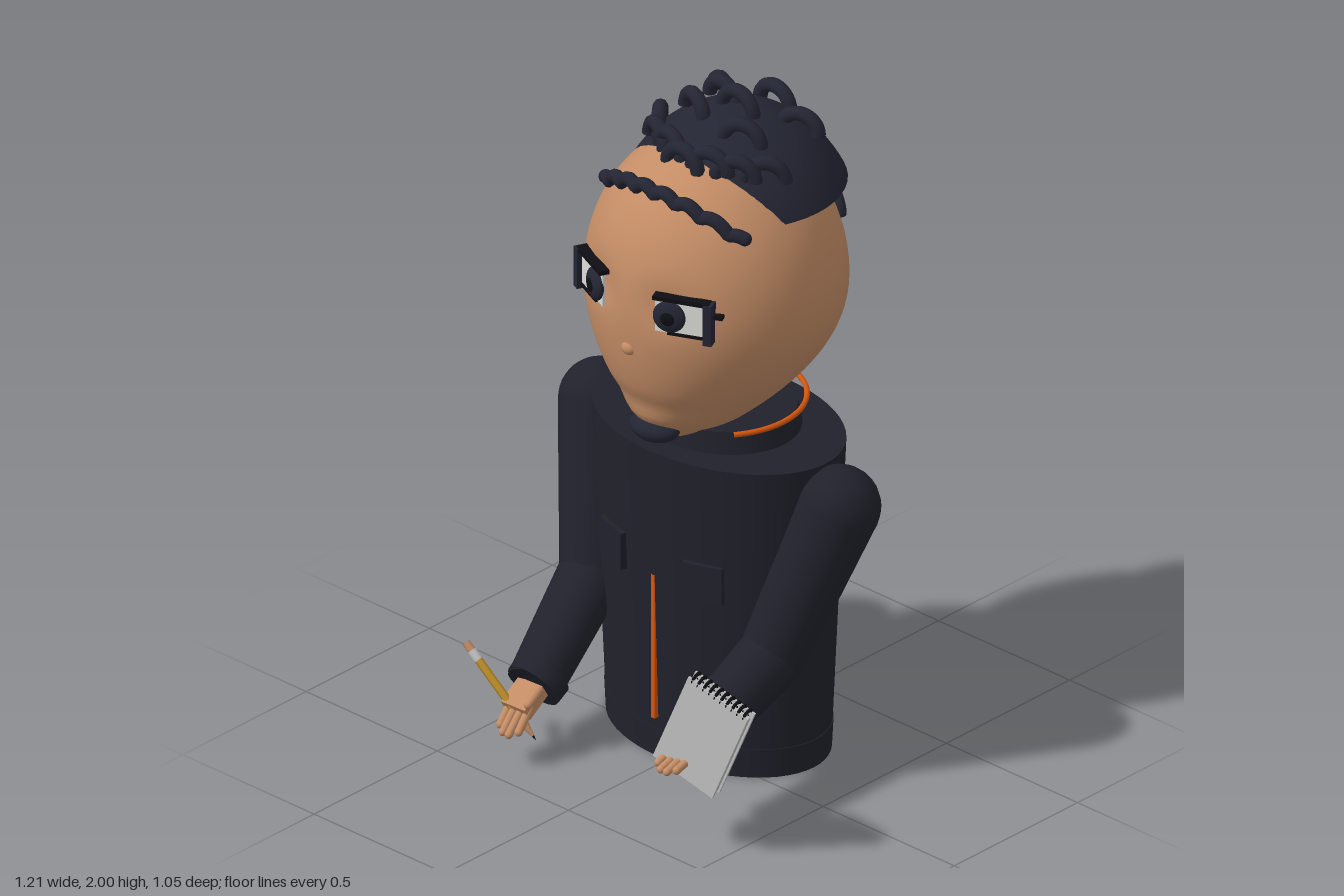
import * as THREE from 'three';

const V = (x, y, z) => new THREE.Vector3(x, y, z);
const CX = -0.035, CZ = -0.142; // body axis

export function createModel() {
  const model = new THREE.Group();
  const mat = (name, color, side = THREE.FrontSide) =>
    Object.assign(new THREE.MeshStandardMaterial({ color, side }), { name });
  const cloth = mat('cloth', 0x21212c);
  const hair = mat('hair', 0x232533, THREE.DoubleSide);
  const skin = mat('skin', 0xc38c65);
  const orange = mat('orange trim', 0xd4560f);
  const paper = mat('notebook grey', 0xc2c2c2);
  const white = mat('eye white', 0xdcdcd8);
  const black = mat('black', 0x0e0e13);
  const yellow = mat('pencil yellow', 0xc4922a);

  const add = (name, geo, m, p = V(0, 0, 0), parent = model) => {
    const mesh = new THREE.Mesh(geo, m);
    mesh.name = name;
    mesh.position.copy(p);
    parent.add(mesh);
    return mesh;
  };
  const ball = (name, r, m, p, s = [1, 1, 1], parent = model) => {
    const b = add(name, new THREE.SphereGeometry(r, 24, 16), m, p, parent);
    b.scale.set(...s);
    return b;
  };
  // tapered rod from a to b
  const rod = (name, a, b, ra, rb, m, parent = model, sides = 24) => {
    const d = b.clone().sub(a);
    const mesh = add(name, new THREE.CylinderGeometry(rb, ra, d.length(), sides), m, a.clone().add(b).multiplyScalar(0.5), parent);
    mesh.quaternion.setFromUnitVectors(V(0, 1, 0), d.normalize());
    return mesh;
  };

  // torso, hem and collar
  const oval = (name, rt, rb, y0, y1, depth) => {
    const geo = new THREE.CylinderGeometry(rt, rb, y1 - y0, 56);
    geo.scale(1, 1, depth);
    add(name, geo, cloth, V(CX, (y0 + y1) / 2, -0.147));
  };
  oval('torso', 0.408, 0.36, 0, 0.98, 0.69);
  oval('hem', 0.367, 0.362, 0, 0.09, 0.69);
  oval('collar', 0.235, 0.25, 0.97, 1.045, 0.86);
  const trim = new THREE.TorusGeometry(0.245, 0.008, 8, 56, Math.PI + 1.3);
  trim.rotateZ(Math.PI - 0.65).rotateX(Math.PI / 2);
  add('collarTrim', trim, orange, V(CX, 1.05, -0.147));
  add('zipper', new THREE.BoxGeometry(0.013, 0.455, 0.04), orange, V(CX, 0.355, 0.101));
  for (const s of [-1, 1]) {
    const pocket = add('chestPocket', new THREE.BoxGeometry(0.122, 0.115, 0.025), cloth, V(CX + s * 0.17, 0.612, 0.097));
    pocket.rotation.y = s * 0.32;
  }

  // head: egg with narrow jaw pushed forward and shallow eye sockets
  const headGeo = new THREE.SphereGeometry(1, 72, 56);
  const pos = headGeo.attributes.position;
  for (let i = 0; i < pos.count; i++) {
    let x = pos.getX(i) * 0.372, z = pos.getZ(i) * 0.367;
    const t = pos.getY(i), y = 1.44 + t * (t > 0 ? 0.44 : 0.47);
    if (t < 0) { x *= 1 - 0.5 * t * t; z += 0.075 * t * t; }
    if (z > 0) {
      const g = (u, w) => Math.exp(-u * u / (w * w));
      z -= 0.018 * g(Math.abs(x) - 0.13, 0.08) * g(y - 1.5, 0.06);
      z += 0.01 * g(y - 1.09, 0.03) * g(x, 0.16) - 0.008 * g(y - 1.15, 0.03) * g(x, 0.2);
    }
    pos.setXYZ(i, x, y, z);
  }
  headGeo.computeVertexNormals();
  add('head', headGeo, skin, V(CX, 0, -0.137));
  ball('nose', 0.026, skin, V(CX, 1.34, 0.215), [1, 0.85, 0.8]);
  ball('goatee', 0.08, hair, V(CX, 1.05, 0.112), [1, 0.5, 0.75]);

  // eyes
  for (const s of [-1, 1]) {
    const eye = new THREE.Group();
    eye.name = s > 0 ? 'leftEye' : 'rightEye';
    eye.position.set(CX + s * 0.165, 1.485, 0.185);
    eye.rotation.y = s * 0.42;
    model.add(eye);
    const bar = (name, w, h, d, x, y, m, z = 0) => add(name, new THREE.BoxGeometry(w, h, d), m, V(s * x, y, z), eye);
    bar('eyeWhite', 0.145, 0.105, 0.009, 0, 0, white);
    bar('upperLash', 0.165, 0.013, 0.03, 0.005, 0.055, black);
    bar('lowerLash', 0.12, 0.008, 0.02, 0.025, -0.053, black);
    bar('outerLash', 0.025, 0.125, 0.04, 0.085, -0.005, hair);
    bar('lashTip', 0.045, 0.012, 0.02, 0.1, 0.015, black, -0.01);
    ball('iris', 0.048, hair, V(s * -0.03, 0, 0.008), [1, 1, 0.4], eye);
    ball('pupil', 0.022, black, V(s * -0.03, 0, 0.023), [1, 1, 0.3], eye);
  }

  // hair cap: flattened piece of a sphere
  const th = Math.PI / 3, R = 0.312 / Math.sin(th), capK = 0.22 / (R * (1 - Math.cos(th)));
  const capGeo = new THREE.SphereGeometry(R, 48, 16, 0, Math.PI * 2, 0, th);
  capGeo.translate(0, -R * Math.cos(th), 0).scale(1, capK, 1);
  add('hairCap', capGeo, hair, V(CX, 1.71, -0.215));
  const capY = (x, z) => 1.71 + capK * (Math.sqrt(Math.max(0, R * R - (x - CX) ** 2 - (z + 0.215) ** 2)) - R * Math.cos(th));

  // arched curls on top: x, z, turn
  const arch = (r, tube) => new THREE.TorusGeometry(r, tube, 10, 18, Math.PI);
  const curls = [
    [-0.035, -0.375, 0], [-0.175, -0.31, -0.36], [0.11, -0.32, 0.36], [-0.115, -0.25, -0.1],
    [-0.03, -0.22, 0], [-0.135, -0.155, -0.35], [0.07, -0.13, 0.3], [-0.24, -0.125, -0.9],
    [0.175, -0.11, 0.7], [-0.18, -0.05, -0.45], [-0.1, -0.02, -0.25], [-0.03, 0.005, 0],
    [0.05, -0.02, 0.25], [0.12, -0.05, 0.5],
  ];
  for (const [x, z, turn] of curls)
    add('curl', arch(0.057, 0.021), hair, V(x, capY(x, z) - 0.008, z)).rotation.y = turn;

  // wavy fringe along the forehead
  const fringe = [];
  for (let i = 0; i <= 56; i++) {
    const t = i / 28 - 1;
    fringe.push(V(CX + 0.265 * t, 1.785 - 0.095 * t * t + 0.018 * Math.abs(Math.sin(t * 11)), 0.115 - 0.085 * t * t));
  }
  add('fringe', new THREE.TubeGeometry(new THREE.CatmullRomCurve3(fringe), 120, 0.02, 10), hair);
  for (const p of [fringe[0], fringe[56]]) ball('fringeEnd', 0.02, hair, p);

  // curls at the back of the head
  for (const [a, y] of [[0.42, 1.57], [-0.12, 1.58], [-0.46, 1.56]]) {
    const c = add('backCurl', arch(0.05, 0.019), hair, V(CX + 0.347 * Math.sin(a), y, CZ - 0.347 * Math.cos(a)));
    c.rotation.y = -a;
  }
  ball('backWisp', 0.03, hair, V(CX + 0.02, 1.5, -0.497), [1, 0.45, 0.4]);
  ball('napeWisp', 0.025, hair, V(CX - 0.06, 1.7, -0.43), [1, 0.8, 0.8]);

  // arms: shoulder, elbow, wrist, then hand and finger tips
  const arms = [
    ['right', V(-0.49, 0.862, -0.15), V(-0.375, 0.42, 0), V(-0.31, 0.205, 0.31), V(-0.307, 0.165, 0.375), V(-0.3, 0.105, 0.435)],
    ['left', V(0.42, 0.862, -0.15), V(0.305, 0.405, 0), V(0.355, 0.305, 0.365), V(0.365, 0.285, 0.43), V(0.373, 0.27, 0.51)],
  ];
  for (const [side, sh, el, wr, palm, tip] of arms) {
    const arm = new THREE.Group();
    arm.name = side + 'Arm';
    model.add(arm);
    ball('shoulder', 0.118, cloth, sh, [1, 1, 1], arm);
    rod('upperArm', sh, el, 0.118, 0.095, cloth, arm);
    ball('elbow', 0.095, cloth, el, [1, 1, 1], arm);
    rod('forearm', el, wr, 0.095, 0.08, cloth, arm);
    const dir = palm.clone().sub(wr).normalize();
    const cuff = wr.clone().addScaledVector(dir, -0.045);
    rod('cuff', cuff, wr.clone().addScaledVector(dir, 0.004), 0.086, 0.084, cloth, arm);
    const hand = add('palm', new THREE.BoxGeometry(0.088, 0.045, 0.11), skin, wr.clone().lerp(palm, 0.5), arm);
    hand.quaternion.setFromUnitVectors(V(0, 0, 1), dir);
    for (let i = 0; i < 4; i++) {
      const off = V((i - 1.5) * 0.023, 0, 0);
      const a = palm.clone().add(off).addScaledVector(dir, -0.015);
      const b = tip.clone().add(off).addScaledVector(dir, i === 0 || i === 3 ? -0.018 : 0);
      rod('finger', a, b, 0.0125, 0.0115, skin, arm, 12);
      ball('fingerTip', 0.0118, skin, b, [1, 1, 1], arm);
    }
    const k = side === 'right' ? 1 : -1;
    const t0 = wr.clone().add(V(k * 0.04, 0.01, 0.02)), t1 = palm.clone().add(V(k * 0.045, 0.025, 0.01));
    rod('thumb', t0, t1, 0.016, 0.013, skin, arm, 12);
    ball('thumbTip', 0.013, skin, t1, [1, 1, 1], arm);
  }

  // pencil
  const pa = V(-0.478, 0.315, 0.407), pb = V(-0.245, 0.08, 0.372);
  const at = (t) => pa.clone().lerp(pb, t);
  rod('eraser', at(0), at(0.08), 0.012, 0.012, skin, model, 12);
  rod('ferrule', at(0.08), at(0.18), 0.0135, 0.0135, paper, model, 12);
  rod('pencilShaft', at(0.18), at(0.85), 0.012, 0.012, yellow, model, 6);
  rod('pencilWood', at(0.85), at(0.96), 0.012, 0.004, skin, model, 12);
  rod('pencilLead', at(0.96), at(1), 0.004, 0.0005, black, model, 8);

  // spiral notebook
  const book = new THREE.Group();
  book.name = 'notebook';
  book.position.set(0.447, 0.378, 0.425);
  book.rotation.set(0, 0.2, -0.39);
  model.add(book);
  for (const z of [-0.018, 0.018]) add('cover', new THREE.BoxGeometry(0.21, 0.305, 0.009), paper, V(0, 0, z), book);
  add('pages', new THREE.BoxGeometry(0.198, 0.285, 0.026), paper, V(0, -0.005, 0), book);
  for (let i = 0; i < 10; i++)
    add('spiralRing', new THREE.TorusGeometry(0.019, 0.005, 6, 14), black, V(-0.09 + i * 0.02, 0.146, 0), book).rotation.y = Math.PI / 2;

  return model;
}
